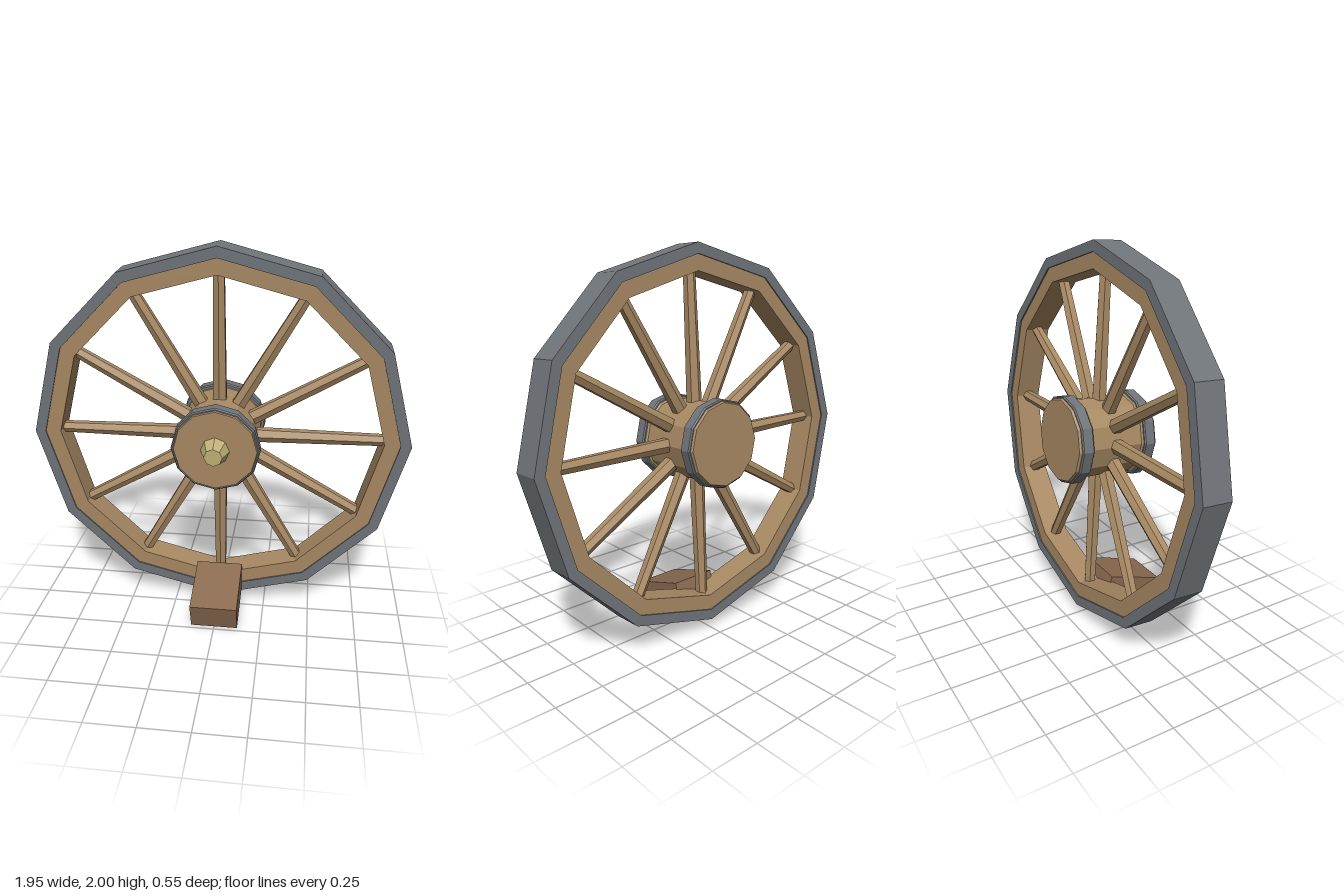
import * as THREE from 'three';

const mat = (color) => new THREE.MeshStandardMaterial({ color, flatShading: true });

export function createModel() {
  const wood = mat(0xa98a64);
  const iron = mat(0x70757a);
  const brass = mat(0xc0b278);
  const darkWood = mat(0x8b6b50);

  const add = (parent, name, geometry, material) => {
    const mesh = new THREE.Mesh(geometry, material);
    mesh.name = name;
    parent.add(mesh);
    return mesh;
  };

  // Twelve-sided turned part about the wheel axle (z); profile is [radius, z], outside edge going +z
  const turned = (profile) =>
    new THREE.LatheGeometry(profile.map(([r, z]) => new THREE.Vector2(r, z)), 12).rotateX(Math.PI / 2);
  const ring = (inner, outer, z0, z1, bevel = 0) => turned([
    [inner, z0], [outer - bevel, z0], [outer, z0 + bevel],
    [outer, z1 - bevel], [outer - bevel, z1], [inner, z1], [inner, z0],
  ]);

  const model = new THREE.Group();
  model.name = 'wagonWheel';

  // Wheel leans slightly towards the front
  const wheel = new THREE.Group();
  wheel.name = 'wheel';
  wheel.position.set(0, 1.023, -0.05);
  wheel.rotation.x = 0.06;
  model.add(wheel);

  // Rim: iron tyre around wooden felloes
  add(wheel, 'tyre', ring(0.92, 0.975, -0.077, 0.077), iron);
  add(wheel, 'felloes', ring(0.84, 0.925, -0.07, 0.07), wood);

  // Hub barrel with closed ends, slimmer between its bands
  add(wheel, 'hub', turned([
    [0, -0.22], [0.21, -0.22], [0.215, -0.21], [0.215, -0.15], [0.203, -0.14],
    [0.203, 0.14], [0.215, 0.15], [0.215, 0.21], [0.21, 0.22], [0, 0.22],
  ]), wood);

  // Iron band at each end of the hub
  for (const [name, z] of [['frontHubBand', 0.18], ['backHubBand', -0.175]]) {
    add(wheel, name, ring(0.2, 0.226, z - 0.032, z + 0.032, 0.006), iron);
  }

  // Brass axle cap
  const cap = add(wheel, 'axleCap', new THREE.CylinderGeometry(0.046, 0.076, 0.085, 8), brass);
  cap.rotation.x = Math.PI / 2;
  cap.position.z = 0.255;

  // Twelve tapered hexagonal spokes, one to each rim corner
  const spokeGeometry = new THREE.CylinderGeometry(0.031, 0.04, 0.7, 6).translate(0, 0.5, 0);
  for (let i = 0; i < 12; i++) {
    add(wheel, `spoke${i + 1}`, spokeGeometry, wood).rotation.z = (i * Math.PI) / 6;
  }

  // Wooden chock propped against the front of the rim
  const chock = add(model, 'chock', new THREE.BoxGeometry(0.25, 0.152, 0.32), darkWood);
  chock.position.set(0, 0.125, 0.096);
  chock.rotation.x = 0.31;

  return model;
}
